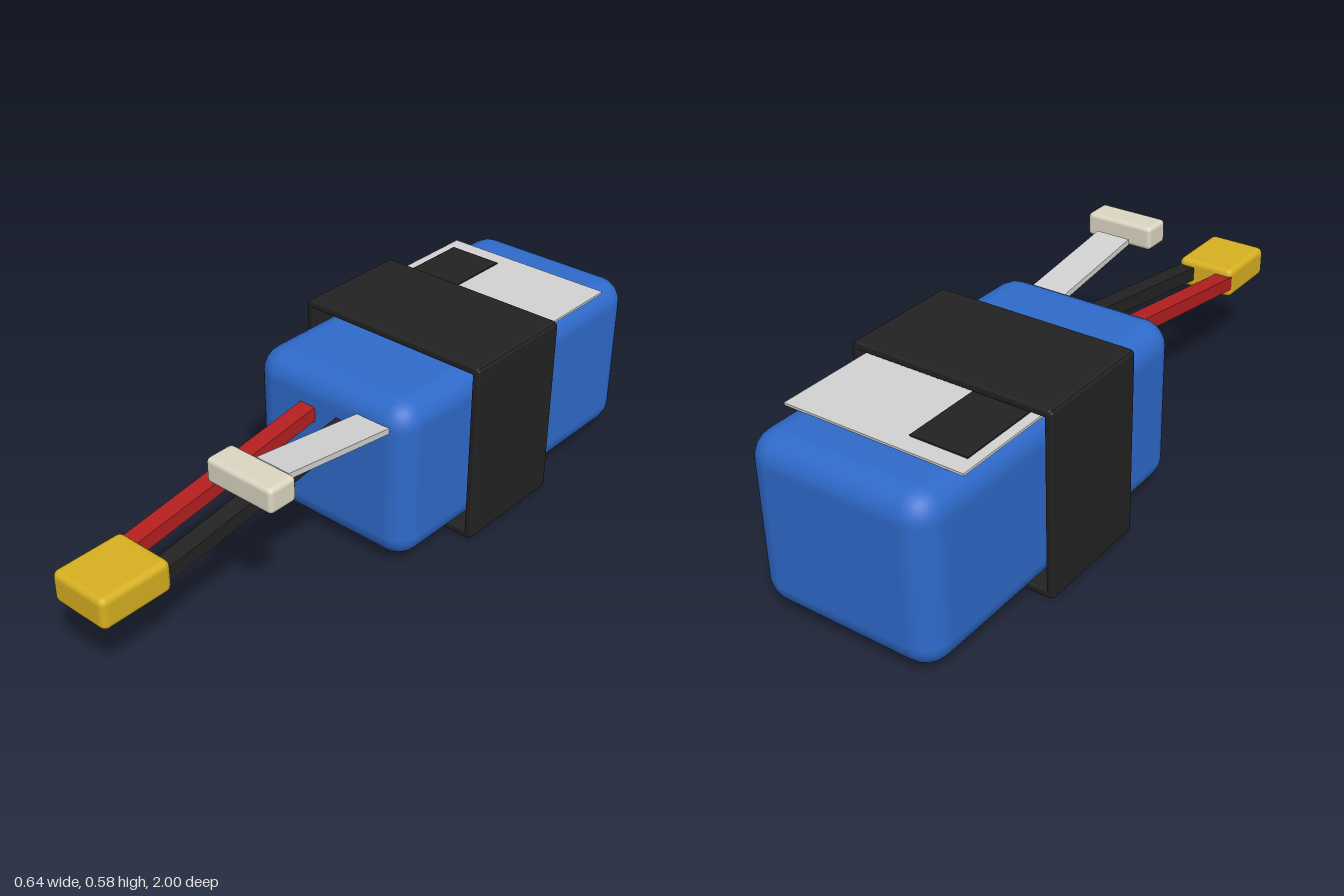
import * as THREE from 'three';
import { RoundedBoxGeometry } from 'three/addons/geometries/RoundedBoxGeometry.js';

const material = (name, color) => {
  const m = new THREE.MeshStandardMaterial({ color });
  m.name = name;
  return m;
};

export function createModel() {
  const group = new THREE.Group();
  const blue = material('blue wrap', 0x2f6acb);
  const black = material('black', 0x222222);
  const red = material('red', 0xb51f1f);
  const yellow = material('yellow', 0xd8b021);
  const cream = material('cream', 0xdcd6c2);
  const silver = material('light grey', 0xd2d2d2);

  const add = (name, geometry, mat) => {
    const mesh = new THREE.Mesh(geometry, mat);
    mesh.name = name;
    group.add(mesh);
    return mesh;
  };

  // Box given by its extents on each axis, rounded when radius > 0
  const block = (name, mat, [x0, x1], [y0, y1], [z0, z1], radius = 0, segments = 2) => {
    const size = [x1 - x0, y1 - y0, z1 - z0];
    const geometry = radius
      ? new RoundedBoxGeometry(...size, segments, radius)
      : new THREE.BoxGeometry(...size);
    add(name, geometry, mat).position.set((x0 + x1) / 2, (y0 + y1) / 2, (z0 + z1) / 2);
  };

  // Straight bar of rectangular section in the yz plane, from (y0, z0) to (y1, z1)
  const bar = (name, mat, x, width, thickness, [y0, z0], [y1, z1]) => {
    const length = Math.hypot(y1 - y0, z1 - z0);
    const mesh = add(name, new THREE.BoxGeometry(width, thickness, length), mat);
    mesh.position.set(x, (y0 + y1) / 2, (z0 + z1) / 2);
    mesh.rotation.x = -Math.atan2(y1 - y0, z1 - z0);
  };

  // Battery pack
  block('batteryBody', blue, [-0.285, 0.285], [0.03, 0.542], [-1, 0.1], 0.08, 3);

  // Label on top with a dark printed patch
  block('label', silver, [-0.28, 0.28], [0.541, 0.548], [-0.845, -0.25]);
  block('labelPatch', black, [-0.25, -0.075], [0.547, 0.552], [-0.79, -0.5]);

  // Strap: four plates around the pack
  const strapZ = [-0.55, -0.173];
  block('strapTop', black, [-0.315, 0.315], [0.552, 0.577], strapZ, 0.008);
  block('strapBottom', black, [-0.315, 0.315], [0.002, 0.027], strapZ, 0.008);
  for (const [name, x] of [['strapLeft', 0.308], ['strapRight', -0.308]]) {
    block(name, black, [x - 0.0125, x + 0.0125], [0.005, 0.573], strapZ, 0.008);
  }

  // Power leads and plug
  bar('redLead', red, -0.068, 0.054, 0.044, [0.424, 0.04], [0.311, 0.8]);
  bar('blackLead', black, 0.066, 0.054, 0.044, [0.424, 0.04], [0.311, 0.8]);
  block('powerPlug', yellow, [-0.097, 0.097], [0.262, 0.36], [0.773, 1], 0.02);

  // Balance ribbon and plug
  bar('balanceRibbon', silver, 0.17, 0.114, 0.018, [0.462, 0.04], [0.52, 0.485]);
  block('balancePlug', cream, [0.057, 0.285], [0.49, 0.565], [0.515, 0.608], 0.014);

  return group;
}
